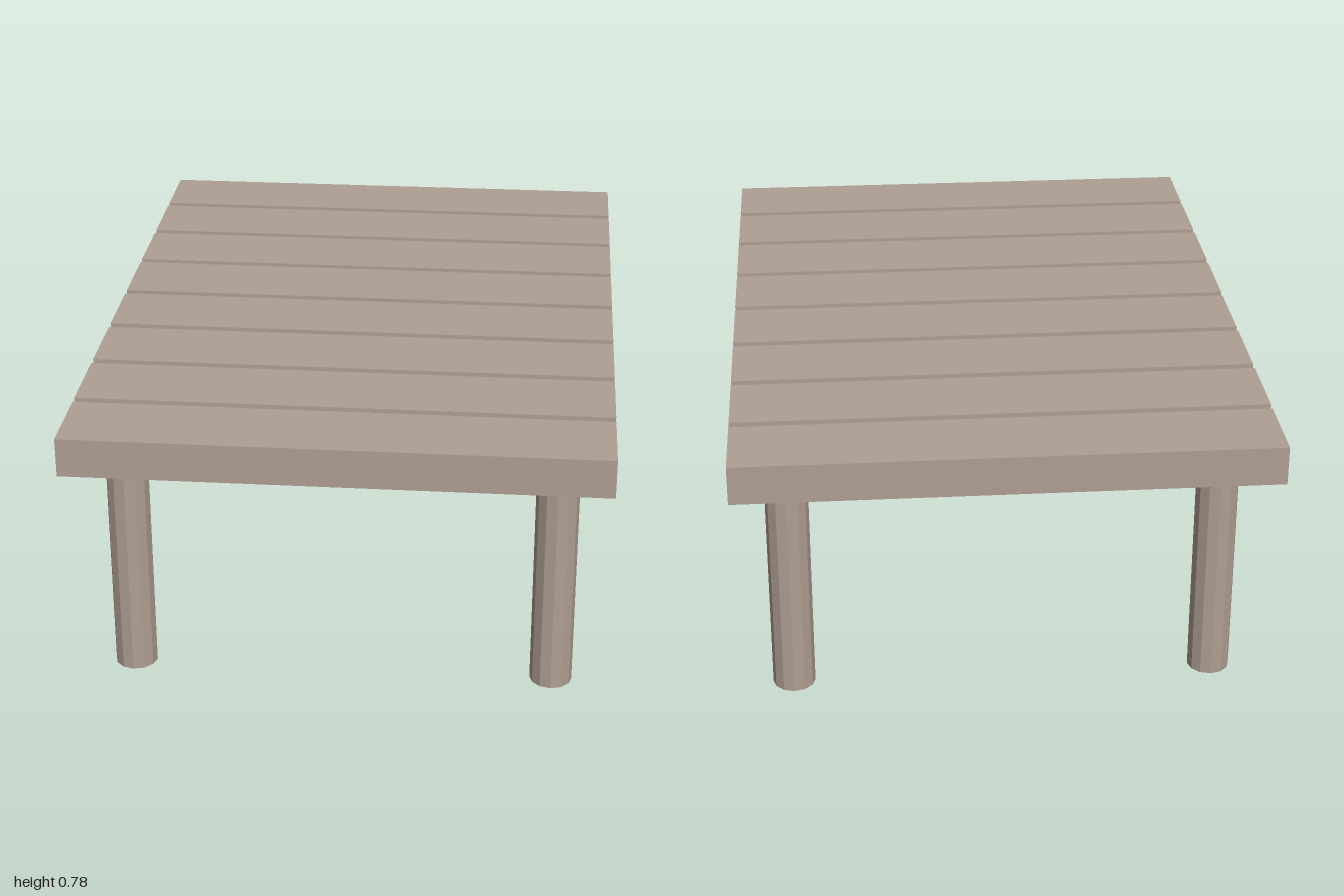
import * as THREE from 'three';

export function createModel() {
  const model = new THREE.Group();
  model.name = 'slattedTable';
  const wood = new THREE.MeshStandardMaterial({ color: 0xb09f93, flatShading: true });
  wood.name = 'weathered wood';

  // Table top: eight planks with narrow gaps
  const count = 8, depth = 0.228, pitch = (2 - depth) / (count - 1);
  const plankGeometry = new THREE.BoxGeometry(1.444, 0.107, depth);
  for (let i = 0; i < count; i++) {
    const plank = new THREE.Mesh(plankGeometry, wood);
    plank.name = `plank${i + 1}`;
    plank.position.set(0, 0.7235, -1 + depth / 2 + i * pitch);
    model.add(plank);
  }

  // Four round legs, let into the planks
  const legHeight = 0.725;
  const legGeometry = new THREE.CylinderGeometry(0.058, 0.058, legHeight, 12);
  for (const x of [-1, 1]) {
    for (const z of [-1, 1]) {
      const leg = new THREE.Mesh(legGeometry, wood);
      leg.name = `${z > 0 ? 'front' : 'back'}${x > 0 ? 'Left' : 'Right'}Leg`;
      leg.position.set(x * 0.578, legHeight / 2, z * 0.797);
      model.add(leg);
    }
  }
  return model;
}
